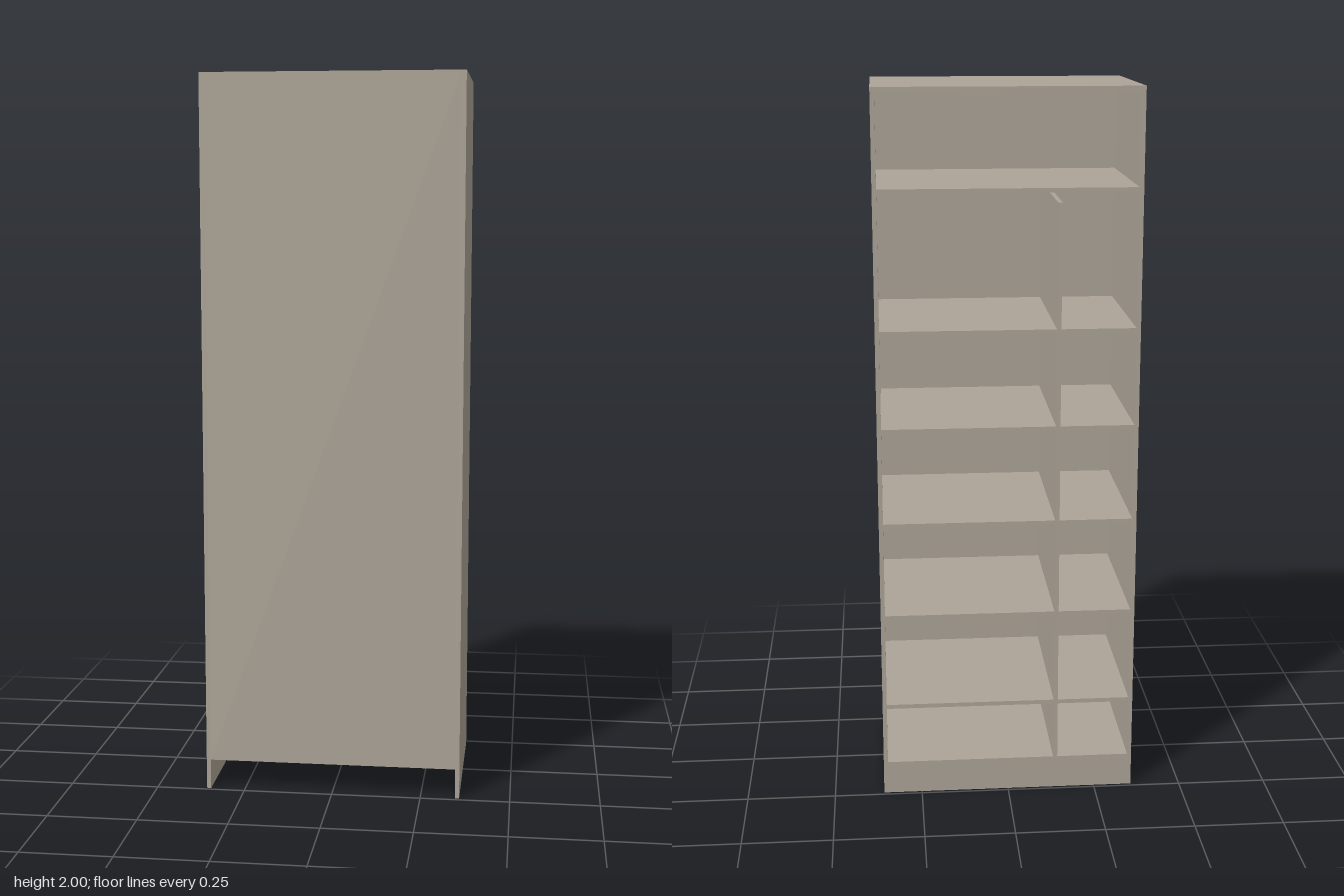
import * as THREE from 'three';

const W = 0.718, H = 2, D = 0.48, T = 0.012; // overall size and board thickness

export function createModel() {
  const wood = new THREE.MeshStandardMaterial({ color: 0xaca497 });
  wood.name = 'taupe board';
  const cabinet = new THREE.Group();
  cabinet.name = 'cabinet';

  // board given by its extents along each axis
  function board(name, [x0, x1], [y0, y1], [z0, z1]) {
    const mesh = new THREE.Mesh(new THREE.BoxGeometry(x1 - x0, y1 - y0, z1 - z0), wood);
    mesh.position.set((x0 + x1) / 2, (y0 + y1) / 2, (z0 + z1) / 2);
    mesh.name = name;
    cabinet.add(mesh);
  }

  const inner = [-W / 2 + T, W / 2 - T];
  const depth = [-D / 2, D / 2 - T];
  const baseTop = 0.096, baseBottom = baseTop - T;

  // carcass: sides reach the floor, the front panel stops above the toe space
  board('leftSide', [inner[1], W / 2], [0, H], [-D / 2, D / 2]);
  board('rightSide', [-W / 2, inner[0]], [0, H], [-D / 2, D / 2]);
  board('topPanel', inner, [H - T, H], depth);
  board('bottomPanel', inner, [baseBottom, baseTop], depth);
  board('frontPanel', inner, [baseBottom, H], [D / 2 - T, D / 2]);
  board('plinth', inner, [0, baseBottom], [-D / 2, -D / 2 + T]);

  // hat shelf across the full width
  board('topShelf', inner, [1.735 - T + 0.003, 1.738], depth);

  // upright divider, ending just below the hat shelf
  const divider = [-0.143, -0.131];
  board('divider', divider, [baseTop, 1.7], depth);

  // evenly spaced shelves in the wide and narrow bays
  for (let i = 0; i < 5; i++) {
    const y = 0.275 + i * 0.271;
    board('wideShelf', [divider[1], inner[1]], [y - T, y], depth);
    board('narrowShelf', [inner[0], divider[0]], [y - T, y], depth);
  }
  return cabinet;
}
